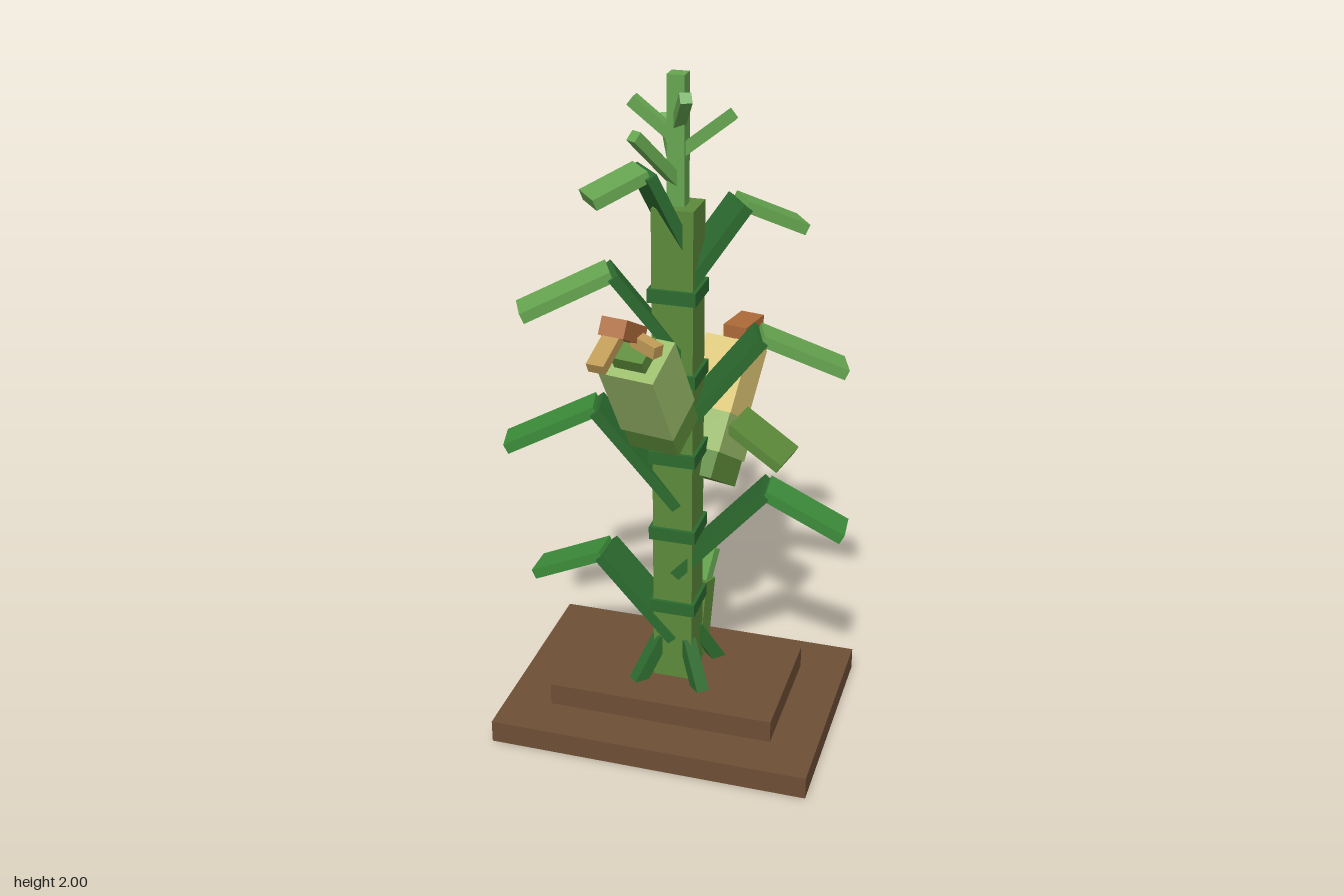
import * as THREE from 'three';

const mat = (name, color) => {
  const m = new THREE.MeshStandardMaterial({ color });
  m.name = name;
  return m;
};

export function createModel() {
  const soil = mat('soil brown', 0x6e4f35);
  const stalkGreen = mat('stalk green', 0x5c8a3a);
  const darkGreen = mat('dark leaf green', 0x2c6b2f);
  const midGreen = mat('mid leaf green', 0x3c8c3a);
  const lightGreen = mat('light leaf green', 0x66a650);
  const huskGreen = mat('husk green', 0x9abb6a);
  const yellow = mat('kernel yellow', 0xdcc674);
  const cream = mat('kernel cream', 0xe0d6a4);
  const silkBrown = mat('silk brown', 0xac6a38);
  const silkTan = mat('silk tan', 0xbf9a56);

  const model = new THREE.Group();
  model.name = 'cornPlant';
  const V = (p) => new THREE.Vector3(...p);

  // Upright box between two heights
  function block(name, m, w, d, y0, y1) {
    const mesh = new THREE.Mesh(new THREE.BoxGeometry(w, y1 - y0, d), m);
    mesh.name = name;
    mesh.position.y = (y0 + y1) / 2;
    model.add(mesh);
  }

  // Box running from a to b: w is its level width, t its thickness
  function beam(parent, name, m, a, b, w, t) {
    const dir = b.clone().sub(a);
    const mesh = new THREE.Mesh(new THREE.BoxGeometry(w, dir.length(), t), m);
    dir.normalize();
    const side = new THREE.Vector3(0, 1, 0).cross(dir).normalize();
    const normal = side.clone().cross(dir);
    mesh.quaternion.setFromRotationMatrix(new THREE.Matrix4().makeBasis(side, dir, normal));
    mesh.position.copy(a).add(b).multiplyScalar(0.5);
    mesh.name = name;
    parent.add(mesh);
  }

  // Stepped ground
  block('lowerGround', soil, 0.97, 0.695, 0, 0.07);
  block('upperGround', soil, 0.69, 0.415, 0.07, 0.14);

  // Stalk with joints and top spike
  block('stalk', stalkGreen, 0.12, 0.12, 0.14, 1.64);
  for (const y of [0.39, 0.64, 0.89, 1.14, 1.39]) block('stalkJoint', darkGreen, 0.14, 0.14, y - 0.02, y + 0.02);
  block('tasselSpike', lightGreen, 0.05, 0.05, 1.64, 2);

  // Tassel branches: start height, tip
  for (const [y, tip] of [
    [1.78, [0.15, 1.9, 0]],
    [1.82, [-0.13, 1.92, 0]],
    [1.7, [-0.08, 1.86, 0.14]],
    [1.7, [-0.08, 1.84, -0.15]],
    [1.86, [0.05, 1.96, 0.1]],
  ]) beam(model, 'tasselBranch', lightGreen, V([0, y, 0]), V(tip), 0.032, 0.032);

  // Prop roots
  for (const x of [-1, 1]) for (const z of [-1, 1])
    beam(model, 'propRoot', darkGreen, V([x * 0.04, 0.27, z * 0.04]), V([x * 0.1, 0.13, z * 0.1]), 0.04, 0.04);

  // Bent leaves: base height, elbow, tip, tip colour
  for (const [y, elbow, tip, m] of [
    [0.27, [-0.23, 0.52, -0.005], [-0.45, 0.42, -0.005], midGreen],
    [0.5, [0.26, 0.79, -0.03], [0.49, 0.67, -0.05], midGreen],
    [0.73, [-0.23, 1.03, 0.05], [-0.485, 0.905, 0.115], midGreen],
    [0.97, [0.22, 1.25, -0.08], [0.45, 1.14, -0.16], lightGreen],
    [1.2, [-0.17, 1.46, 0.09], [-0.395, 1.355, 0.2], lightGreen],
    [1.4, [0.15, 1.63, -0.1], [0.3, 1.545, -0.2], lightGreen],
    [1.53, [-0.08, 1.745, 0.07], [-0.2, 1.685, 0.17], lightGreen],
  ]) {
    const leaf = new THREE.Group();
    leaf.name = 'leaf';
    beam(leaf, 'leafRise', darkGreen, V([0, y, 0]), V(elbow), 0.13, 0.032);
    beam(leaf, 'leafTip', m, V(elbow), V(tip), 0.105, 0.032);
    model.add(leaf);
  }

  // Side shoot behind the stalk
  beam(model, 'shootStem', stalkGreen, V([0.03, 0.13, -0.08]), V([0.04, 0.39, -0.13]), 0.06, 0.06);
  beam(model, 'shootLeaf', lightGreen, V([0.04, 0.36, -0.12]), V([0.06, 0.48, -0.17]), 0.04, 0.03);
  beam(model, 'shootLeaf', lightGreen, V([0.03, 0.25, -0.12]), V([0.0, 0.36, -0.23]), 0.04, 0.03);

  // Ear made of stacked sections along its axis: [name, material, from, to, width, depth, outward shift]
  function ear(name, base, tip, sections) {
    const g = new THREE.Group();
    g.name = name;
    const a = V(base);
    const dir = V(tip).sub(a).normalize();
    const side = new THREE.Vector3(0, 1, 0).cross(dir).normalize();
    const out = dir.clone().cross(side).negate();
    for (const [part, m, s0, s1, w, d, shift = 0] of sections) {
      const at = (s) => a.clone().addScaledVector(dir, s).addScaledVector(out, shift);
      beam(g, part, m, at(s0), at(s1), w, d);
    }
    model.add(g);
    return g;
  }

  // Closed ear at the front
  const closedEar = ear('closedEar', [-0.015, 0.99, 0.09], [-0.045, 1.29, 0.25], [
    ['earBase', stalkGreen, 0, 0.1, 0.155, 0.14],
    ['husk', huskGreen, 0.08, 0.33, 0.165, 0.15],
    ['innerHusk', stalkGreen, 0.32, 0.37, 0.095, 0.09],
  ]);
  beam(closedEar, 'silk', silkBrown, V([-0.045, 1.36, 0.27]), V([-0.065, 1.42, 0.38]), 0.075, 0.05);
  beam(closedEar, 'silkTip', silkTan, V([-0.065, 1.39, 0.37]), V([-0.08, 1.34, 0.475]), 0.05, 0.03);
  beam(closedEar, 'silkStrand', silkTan, V([-0.03, 1.36, 0.3]), V([0.045, 1.345, 0.335]), 0.035, 0.035);

  // Open ear at the back
  const openEar = ear('openEar', [0.035, 0.76, -0.1], [0.09, 1.12, -0.325], [
    ['earBase', stalkGreen, 0, 0.1, 0.165, 0.18],
    ['husk', huskGreen, 0.08, 0.2, 0.175, 0.19],
    ['kernels', yellow, 0.18, 0.42, 0.15, 0.13],
    ['kernelCore', cream, 0.21, 0.46, 0.1, 0.095, 0.03],
  ]);
  beam(openEar, 'huskFlap', huskGreen, V([-0.03, 0.92, -0.22]), V([-0.185, 0.83, -0.26]), 0.13, 0.03);
  beam(openEar, 'huskFlap', stalkGreen, V([0.13, 0.93, -0.17]), V([0.295, 0.83, -0.145]), 0.14, 0.03);
  beam(openEar, 'silk', silkBrown, V([0.085, 1.135, -0.31]), V([0.11, 1.135, -0.43]), 0.075, 0.065);
  beam(openEar, 'silkTip', silkTan, V([0.11, 1.15, -0.415]), V([0.122, 1.03, -0.465]), 0.05, 0.035);

  return model;
}
